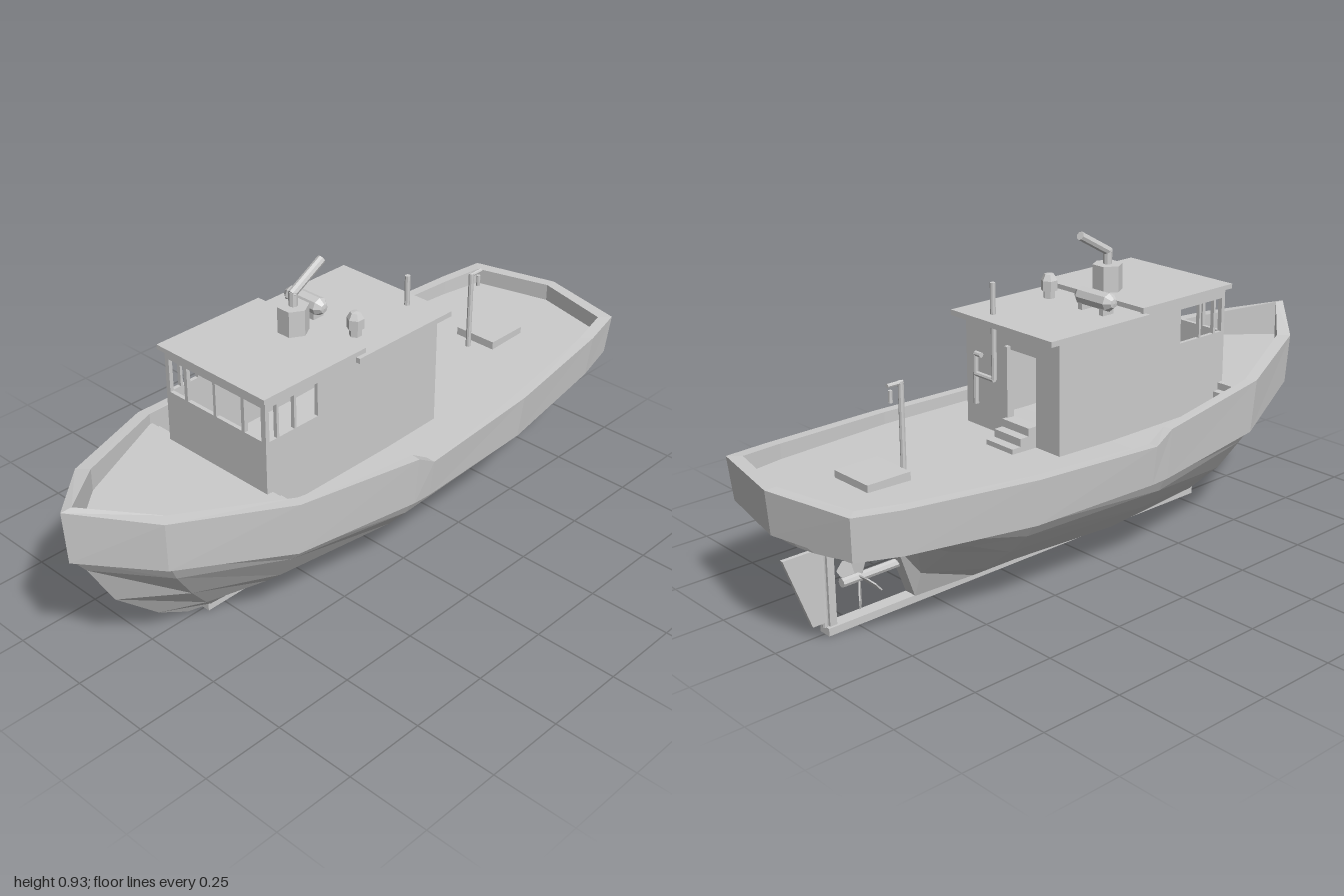
import * as THREE from 'three';

const grey = new THREE.MeshStandardMaterial({ color: 0xcccccc, flatShading: true });
const sheet = new THREE.MeshStandardMaterial({ color: 0xcccccc, flatShading: true, side: THREE.DoubleSide });

export function createModel() {
  const boat = new THREE.Group();
  boat.name = 'workboat';

  const add = (name, geometry, x = 0, y = 0, z = 0, material = grey) => {
    const mesh = new THREE.Mesh(geometry, material);
    mesh.name = name;
    mesh.position.set(x, y, z);
    boat.add(mesh);
    return mesh;
  };
  // Box given by its limits on each axis
  const box = (name, x0, x1, y0, y1, z0, z1) =>
    add(name, new THREE.BoxGeometry(x1 - x0, y1 - y0, z1 - z0), (x0 + x1) / 2, (y0 + y1) / 2, (z0 + z1) / 2);
  // Straight pipe between two points
  const pipe = (name, a, b, r, sides = 8) => {
    const p = new THREE.Vector3(...a), q = new THREE.Vector3(...b), d = q.clone().sub(p);
    const mesh = add(name, new THREE.CylinderGeometry(r, r, d.length(), sides));
    mesh.position.copy(p).add(q).multiplyScalar(0.5);
    mesh.quaternion.setFromUnitVectors(new THREE.Vector3(0, 1, 0), d.normalize());
    return mesh;
  };
  // Skin over a list of cross-sections
  const loft = (name, sections) => {
    const n = sections[0].length, index = [];
    for (let i = 0; i < sections.length - 1; i++)
      for (let j = 0; j < n - 1; j++) {
        const a = i * n + j, b = a + n;
        index.push(a, b, b + 1, a, b + 1, a + 1);
      }
    const g = new THREE.BufferGeometry();
    g.setAttribute('position', new THREE.Float32BufferAttribute(sections.flat(2), 3));
    g.setIndex(index);
    const flat = g.toNonIndexed();
    flat.computeVertexNormals();
    return add(name, flat, 0, 0, 0, sheet);
  };
  const mirrorX = ([x, y, z]) => [-x, y, z];

  // Hull: half sections from bow to stern, each from the rail down to the keel
  const halfSections = [
    [[0, 0.39, 0.98], [0, 0.34, 0.94], [0, 0.2, 0.86], [0, 0.075, 0.72], [0, 0.02, 0.62]],
    [[0.165, 0.358, 0.8], [0.15, 0.3, 0.77], [0.11, 0.185, 0.69], [0.06, 0.075, 0.6], [0.02, 0.02, 0.55]],
    [[0.3, 0.31, 0.49], [0.275, 0.27, 0.48], [0.21, 0.172, 0.46], [0.11, 0.075, 0.42], [0.03, 0.02, 0.4]],
    [[0.348, 0.287, 0.08], [0.325, 0.242, 0.08], [0.262, 0.172, 0.08], [0.142, 0.072, 0.08], [0.035, 0.02, 0.08]],
    [[0.333, 0.285, -0.4], [0.305, 0.245, -0.4], [0.235, 0.175, -0.4], [0.115, 0.078, -0.38], [0.03, 0.02, -0.36]],
    [[0.31, 0.295, -0.58], [0.275, 0.26, -0.57], [0.17, 0.205, -0.56], [0.05, 0.1, -0.56], [0.02, 0.02, -0.56]],
    [[0.3, 0.303, -0.68], [0.25, 0.28, -0.66], [0.14, 0.24, -0.64], [0.04, 0.195, -0.63], [0.012, 0.17, -0.62]],
    [[0.28, 0.312, -0.8], [0.22, 0.29, -0.78], [0.12, 0.272, -0.76], [0.04, 0.263, -0.75], [0.01, 0.258, -0.74]],
    [[0.25, 0.325, -0.92], [0.19, 0.31, -0.925], [0.11, 0.3, -0.935], [0.04, 0.295, -0.94], [0.01, 0.293, -0.94]],
  ];
  const hull = halfSections.map((s) => [...s, ...s.map(mirrorX).reverse()]);
  hull.push(hull[0].map(() => [0, 0.33, -0.95]));
  loft('hull', hull);
  box('keel', -0.02, 0.02, 0, 0.022, -0.845, 0.56);

  // Bulwark: closed ring through [half width, z, top, bottom]
  const rail = [
    [0, 1, 0.55, 0.39], [0.18, 0.82, 0.51, 0.358], [0.325, 0.49, 0.475, 0.31],
    [0.37, 0.08, 0.44, 0.287], [0.372, 0.02, 0.405, 0.286], [0.355, -0.4, 0.42, 0.285],
    [0.305, -0.8, 0.44, 0.31], [0.275, -0.94, 0.45, 0.325], [0, -1, 0.455, 0.33],
  ];
  const inner = ([x, z]) => [Math.max(x - 0.03, 0), z * 0.965];
  const ring = rail.map((r) => {
    const [x, z, top, bottom] = r, [ix, iz] = inner(r);
    const foot = [x * 0.96, bottom, z * 0.99];
    return [foot, [x, top, z], [ix, top, iz], [ix, bottom, iz], foot];
  });
  const otherSide = ring.slice(1, -1).reverse().map((s) => s.map(mirrorX));
  loft('bulwark', [...ring, ...otherSide, ring[0]]);

  // Decks, with the raised foredeck and its break
  const deck = (name, points, height) => loft(name, points.map((r) => {
    const [x, z] = inner(r), y = height(z);
    return [[-x, y, z], [x, y, z]];
  }));
  deck('foredeck', rail.slice(0, 3), () => 0.442);
  deck('mainDeck', rail.slice(2), (z) => 0.372 + Math.max(0, -z) * 0.03);
  box('foredeckBreak', -0.295, 0.295, 0.36, 0.441, 0.465, 0.475);
  for (const s of [-1, 1])
    for (let i = 0; i < 2; i++) {
      const step = box('foredeckStep', 0.2, 0.295, 0.36, 0.42 - i * 0.025, 0.44 - i * 0.025, 0.465 - i * 0.025);
      step.position.x *= s;
    }

  // Cabin walls cut from flat shapes with openings
  const wall = (outline, holes) => {
    const shape = new THREE.Shape(outline.map((p) => new THREE.Vector2(...p)));
    for (const [x0, x1, y0, y1] of holes)
      shape.holes.push(new THREE.Path([[x0, y0], [x0, y1], [x1, y1], [x1, y0]].map((p) => new THREE.Vector2(...p))));
    return new THREE.ExtrudeGeometry(shape, { depth: 0.012, bevelEnabled: false });
  };
  const frontWindows = [[-0.18, -0.12], [-0.108, -0.005], [0.005, 0.103], [0.115, 0.178]];
  add('cabinFront', wall([[-0.194, 0.37], [0.194, 0.37], [0.194, 0.73], [-0.194, 0.73]],
    frontWindows.map(([a, b]) => [a, b, 0.6, 0.702])), 0, 0, 0.473);
  add('cabinBack', wall([[-0.194, 0.37], [0.194, 0.37], [0.194, 0.707], [-0.194, 0.707]],
    [[-0.1, 0.005, 0.44, 0.64]]), 0, 0, -0.182);
  const side = wall([[-0.182, 0.37], [0.485, 0.37], [0.485, 0.73], [0.14, 0.73], [0.14, 0.707], [-0.182, 0.707]],
    [[0.445, 0.472, 0.6, 0.702], [0.382, 0.437, 0.6, 0.702], [0.295, 0.374, 0.6, 0.702]]);
  side.rotateY(-Math.PI / 2);
  add('cabinLeft', side, 0.195);
  add('cabinRight', side, -0.183);
  box('wheelhouseRoof', -0.208, 0.208, 0.729, 0.743, 0.125, 0.5);
  box('aftRoof', -0.21, 0.21, 0.704, 0.72, -0.225, 0.15);

  // Back door: jamb and steps
  box('doorJamb', 0.005, 0.017, 0.44, 0.65, -0.195, -0.18);
  for (let i = 0; i < 3; i++)
    box('doorStep', -0.1, 0.01, 0.365, 0.395 + i * 0.023, -0.27 + i * 0.03, -0.182);

  // Roof gear: funnel, exhaust, vent, tank and aerial
  add('funnel', new THREE.CylinderGeometry(0.045, 0.045, 0.08, 6).rotateY(Math.PI / 6), 0, 0.78, 0.19);
  pipe('exhaustBase', [0, 0.81, 0.19], [0, 0.862, 0.19], 0.013);
  pipe('exhaust', [0, 0.855, 0.195], [0, 0.92, 0.08], 0.013);
  const ventProfile = [[0, 0], [0.018, 0], [0.018, 0.025], [0.025, 0.025], [0.025, 0.055], [0.015, 0.073], [0, 0.075]];
  add('roofVent', new THREE.LatheGeometry(ventProfile.map((p) => new THREE.Vector2(...p)), 6), 0.11, 0.718, 0.062);
  const tankProfile = [[0, -0.075], [0.013, -0.073], [0.027, -0.055], [0.027, 0.055], [0.013, 0.073], [0, 0.075]];
  add('roofTank', new THREE.LatheGeometry(tankProfile.map((p) => new THREE.Vector2(...p)), 8).rotateZ(Math.PI / 2), -0.082, 0.757, 0.062);
  for (const x of [-0.125, -0.04]) box('tankFoot', x - 0.008, x + 0.008, 0.718, 0.74, 0.042, 0.082);
  pipe('aerial', [0.093, 0.71, -0.168], [0.093, 0.812, -0.168], 0.008);

  // Pipes on the back wall
  pipe('wallPipe', [0.06, 0.54, -0.195], [0.06, 0.7, -0.195], 0.008);
  pipe('wallPipe', [0.06, 0.54, -0.195], [0.14, 0.54, -0.195], 0.008);
  pipe('wallPipe', [0.14, 0.45, -0.195], [0.14, 0.6, -0.195], 0.008);
  pipe('wallPipe', [0.14, 0.6, -0.195], [0.115, 0.6, -0.195], 0.008);

  // Aft deck: hatch and derrick
  box('hatch', -0.072, 0.072, 0.38, 0.415, -0.74, -0.6);
  pipe('derrickPost', [0, 0.38, -0.568], [0, 0.64, -0.568], 0.008);
  pipe('derrickArm', [0, 0.636, -0.562], [0, 0.636, -0.613], 0.006);
  pipe('derrickHook', [0, 0.588, -0.603], [0, 0.622, -0.603], 0.006);

  // Propeller
  pipe('shaft', [0, 0.128, -0.56], [0, 0.128, -0.785], 0.013);
  const blade = new THREE.Shape();
  blade.moveTo(-0.008, 0);
  for (const [x, y] of [[0.008, 0], [0.024, 0.06], [0.016, 0.088], [-0.016, 0.088], [-0.024, 0.06]]) blade.lineTo(x, y);
  const bladeGeometry = new THREE.ExtrudeGeometry(blade, { depth: 0.004, bevelEnabled: false }).rotateY(0.7);
  for (let i = 0; i < 4; i++)
    add('propellerBlade', bladeGeometry, 0, 0.128, -0.73).rotation.z = i * Math.PI / 2;

  // Rudder and its post
  box('sternPost', -0.012, 0.012, 0, 0.28, -0.835, -0.813);
  pipe('rudderStock', [0, 0.02, -0.842], [0, 0.29, -0.842], 0.008);
  const rudder = new THREE.Shape([[-0.842, 0.035], [-0.842, 0.25], [-0.965, 0.25], [-0.885, 0.035]].map((p) => new THREE.Vector2(...p)));
  add('rudder', new THREE.ExtrudeGeometry(rudder, { depth: 0.012, bevelEnabled: false }).rotateY(-Math.PI / 2), 0.006);

  return boat;
}
